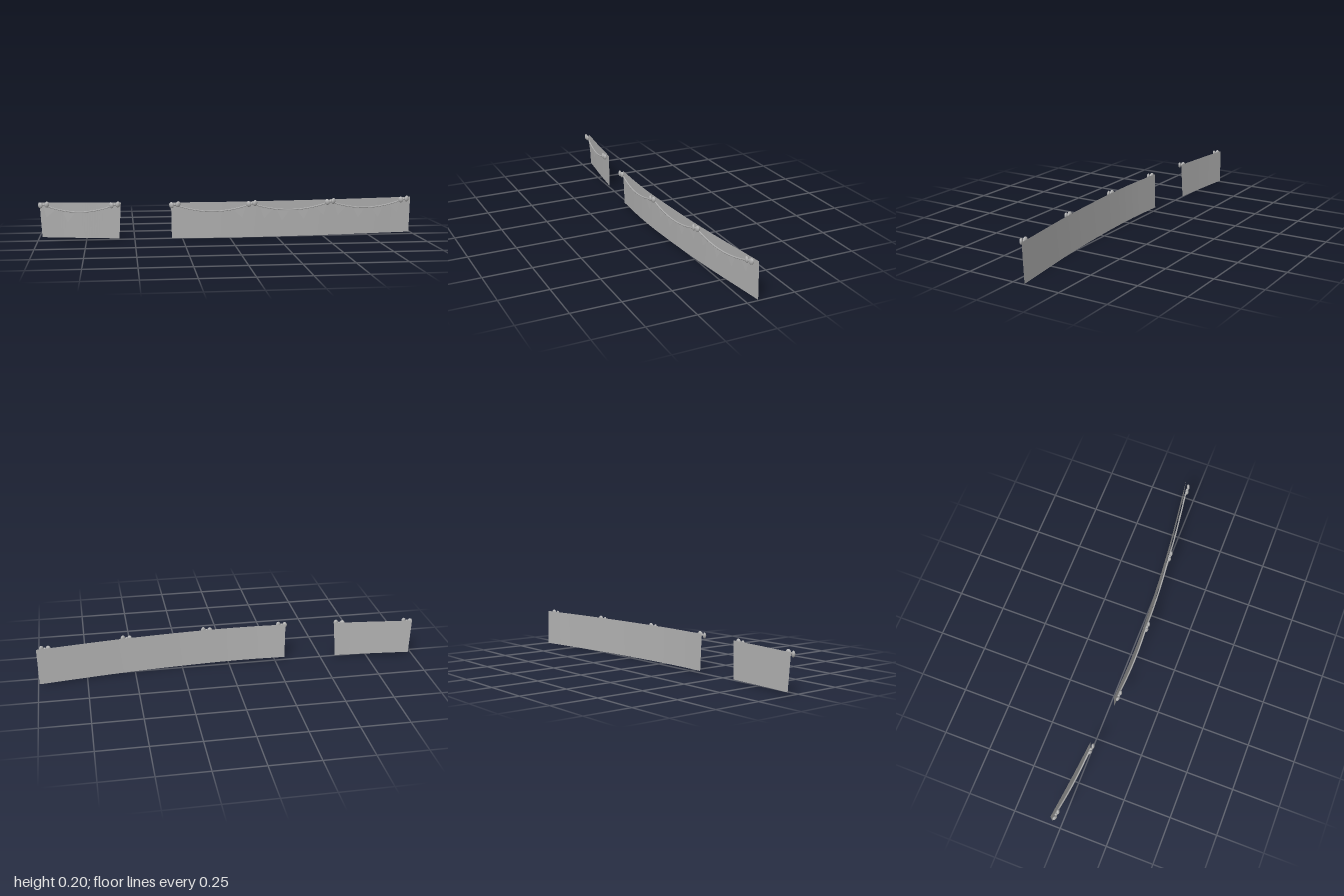
import * as THREE from 'three';

const grey = new THREE.MeshStandardMaterial({ color: 0xb0b0b0, side: THREE.DoubleSide });
grey.name = 'plain grey';

// Plan of each cloth panel as [x, z] along its top edge, and the bottom edge height at each end
const PANELS = [
  { name: 'shortPanel', plan: [[-0.99, -0.042], [-0.78, -0.018], [-0.57, 0.002]], low: [0.011, 0.004],
    inset: 0.01, bows: [-0.968, -0.602], flags: [[-0.94, -0.84]] },
  { name: 'longPanel', plan: [[-0.31, 0.027], [-0.1, 0.034], [0.1, 0.031], [0.52, 0.003], [0.997, -0.054]], low: [0.004, 0],
    inset: 0.003, bows: [-0.292, 0.112, 0.537, 0.953],
    flags: [[0.05], [0.19, 0.28, 0.39, 0.49], [0.595, 0.7, 0.805, 0.905]] },
];
const TOP = 0.194;

// Depth of the panel at a given x
function depthAt(curve, x) {
  let a = 0, b = 1;
  for (let i = 0; i < 24; i++) {
    const m = (a + b) / 2;
    if (curve.getPoint(m).x < x) a = m; else b = m;
  }
  return curve.getPoint(a).z;
}

function mesh(geometry, name) {
  const m = new THREE.Mesh(geometry, grey);
  m.name = name;
  return m;
}

// Curved cloth, leaning back a little toward the bottom
function makeCloth(curve, { low, inset }) {
  const geo = new THREE.PlaneGeometry(1, 1, 32, 1);
  const pos = geo.attributes.position;
  for (let i = 0; i < pos.count; i++) {
    const u = pos.getX(i) + 0.5, bottom = pos.getY(i) < 0;
    const p = curve.getPoint(u);
    const y = bottom ? THREE.MathUtils.lerp(low[0], low[1], u) : TOP;
    const shift = bottom ? inset * (0.5 - u) * 2 : 0;
    pos.setXYZ(i, p.x + shift, y, p.z - (bottom ? 0.006 : 0));
  }
  geo.computeVertexNormals();
  return mesh(geo, 'cloth');
}

// Two rounded loops and a knot
function makeBow() {
  const bow = new THREE.Group();
  bow.name = 'bow';
  for (const s of [-1, 1]) {
    const loop = mesh(new THREE.SphereGeometry(1, 12, 8), 'bowLoop');
    loop.scale.set(0.013, 0.016, 0.008);
    loop.position.set(s * 0.017, s * 0.002, 0.002);
    loop.rotation.set(0, s * 0.35, s * -0.2);
    bow.add(loop);
  }
  const knot = mesh(new THREE.SphereGeometry(0.007, 10, 8), 'bowKnot');
  bow.add(knot);
  return bow;
}

// Thin triangular flag hanging from its top edge
function makeFlag() {
  const shape = new THREE.Shape([
    new THREE.Vector2(-0.031, 0), new THREE.Vector2(0, -0.05), new THREE.Vector2(0.031, 0)]);
  return mesh(new THREE.ShapeGeometry(shape), 'pennant');
}

function makePanel(spec) {
  const group = new THREE.Group();
  group.name = spec.name;
  const curve = new THREE.CatmullRomCurve3(spec.plan.map(([x, z]) => new THREE.Vector3(x, 0, z)));
  group.add(makeCloth(curve, spec));

  for (const x of spec.bows) {
    const bow = makeBow();
    bow.position.set(x, 0.185, depthAt(curve, x) + 0.018);
    bow.rotation.y = -Math.atan((depthAt(curve, x + 0.01) - depthAt(curve, x - 0.01)) / 0.02);
    group.add(bow);
  }

  // Sagging cord between neighbouring bows, with pennants along it
  for (let i = 0; i + 1 < spec.bows.length; i++) {
    const a = spec.bows[i], b = spec.bows[i + 1];
    const sag = x => {
      const t = ((x - a) / (b - a)) * 2 - 1;
      return 0.147 + 0.037 * t * t;
    };
    const pts = [];
    for (let k = 0; k <= 10; k++) {
      const x = a + ((b - a) * k) / 10;
      pts.push(new THREE.Vector3(x, sag(x), depthAt(curve, x) + 0.014));
    }
    group.add(mesh(new THREE.TubeGeometry(new THREE.CatmullRomCurve3(pts), 32, 0.004, 6), 'cord'));

    for (const x of spec.flags[i]) {
      const flag = makeFlag();
      const turn = (depthAt(curve, x + 0.02) - depthAt(curve, x - 0.02)) / 0.04;
      flag.position.set(x, sag(x) - 0.009, depthAt(curve, x) + 0.007);
      flag.rotation.set(0, -Math.atan(turn), Math.atan((sag(x + 0.01) - sag(x - 0.01)) / 0.02));
      group.add(flag);
    }
  }
  return group;
}

export function createModel() {
  const model = new THREE.Group();
  model.name = 'festiveBanner';
  for (const spec of PANELS) model.add(makePanel(spec));
  return model;
}
